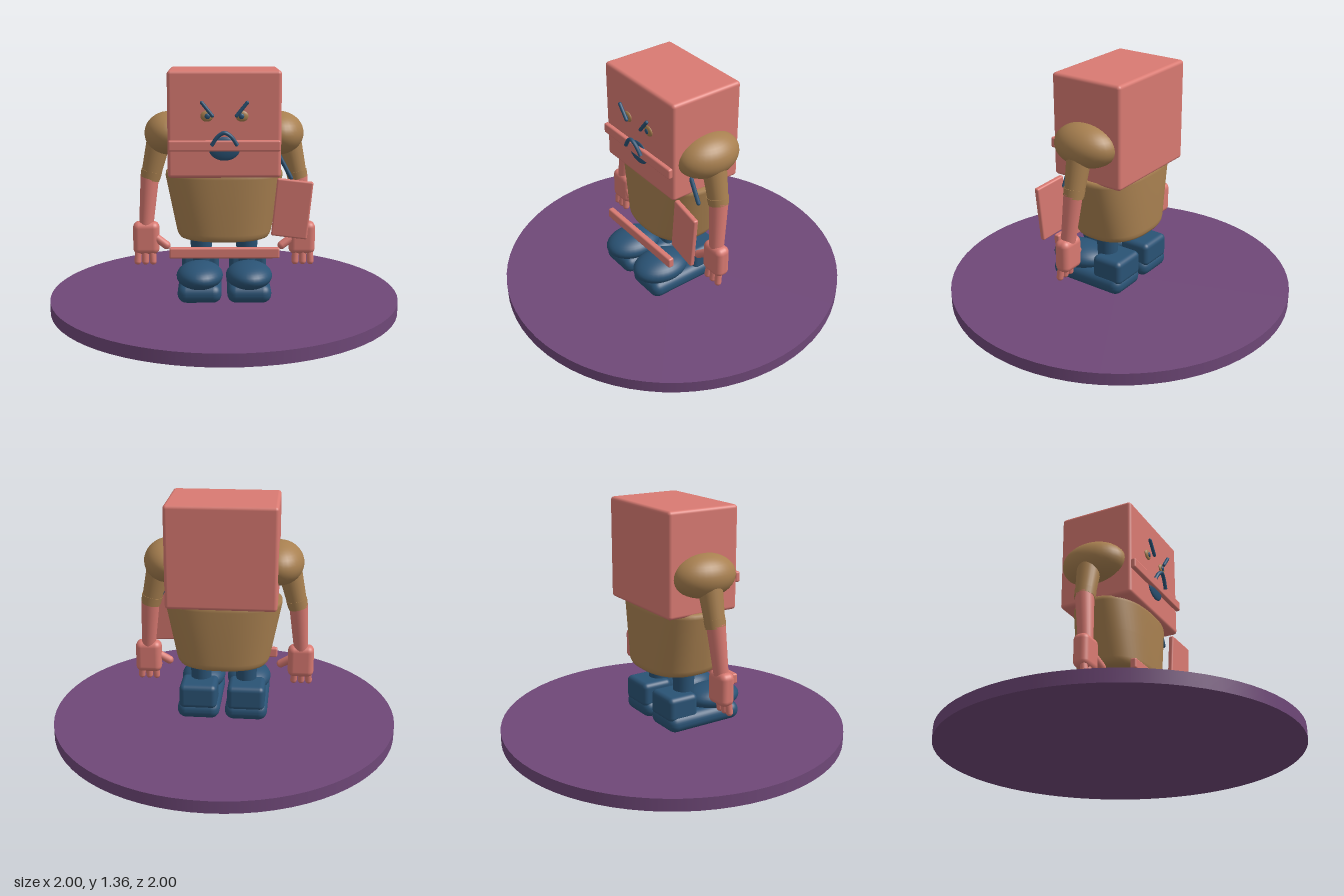
import * as THREE from 'three';
import { mergeVertices } from 'three/addons/utils/BufferGeometryUtils.js';
import { RoundedBoxGeometry } from 'three/addons/geometries/RoundedBoxGeometry.js';

const makeMaterial = (name, color) => {
  const m = new THREE.MeshStandardMaterial({ color });
  m.name = name;
  return m;
};

export function createModel() {
  const model = new THREE.Group();
  model.name = 'boxHeadFigure';
  const salmon = makeMaterial('salmon', 0xd97a72);
  const tan = makeMaterial('tan', 0xa88050);
  const blue = makeMaterial('darkBlue', 0x2a5375);
  const purple = makeMaterial('purple', 0x6f4878);
  const v = (x, y, z) => new THREE.Vector3(x, y, z);

  const add = (name, geometry, material, x = 0, y = 0, z = 0, parent = model) => {
    const mesh = new THREE.Mesh(geometry, material);
    mesh.name = name;
    mesh.position.set(x, y, z);
    parent.add(mesh);
    return mesh;
  };
  const box = (w, h, d, r) => new RoundedBoxGeometry(w, h, d, 4, r);
  const ball = (rx, ry, rz) => new THREE.SphereGeometry(1, 32, 20).scale(rx, ry, rz);
  // tapered round limb between two points
  const limb = (name, a, b, ra, rb, material, parent) => {
    const mid = a.clone().add(b).multiplyScalar(0.5);
    const mesh = add(name, new THREE.CylinderGeometry(rb, ra, a.distanceTo(b), 24),
      material, mid.x, mid.y, mid.z, parent);
    mesh.quaternion.setFromUnitVectors(v(0, 1, 0), b.clone().sub(a).normalize());
    return mesh;
  };
  // round-ended rod between two points
  const rod = (name, a, b, r, material, parent) => {
    const mesh = limb(name, a, b, r, r, material, parent);
    mesh.geometry = new THREE.CapsuleGeometry(r, a.distanceTo(b), 5, 14);
    return mesh;
  };

  // display disc
  add('base', new THREE.CylinderGeometry(1, 1, 0.07, 72), purple, 0, 0.035, 0);

  // torso: rounded oval, tapering only in width
  const profile = [[0, 0.41], [0.9, 0.41], [0.96, 0.416], [0.99, 0.43], [1, 0.45],
    [1, 0.6], [1, 0.765], [0.985, 0.785], [0.94, 0.795], [0, 0.795]];
  let torso = new THREE.LatheGeometry(profile.map(p => new THREE.Vector2(...p)), 56);
  const pos = torso.attributes.position;
  const squarish = c => Math.sign(c) * Math.abs(c) ** 0.8;
  for (let i = 0; i < pos.count; i++) {
    const x = pos.getX(i), y = pos.getY(i), z = pos.getZ(i);
    const r = Math.hypot(x, z) || 1;
    const halfWidth = 0.262 + (y - 0.41) * 0.2;
    pos.setX(i, r * squarish(x / r) * halfWidth);
    pos.setZ(i, r * squarish(z / r) * 0.212);
  }
  torso.deleteAttribute('normal');
  torso.deleteAttribute('uv');
  torso = mergeVertices(torso, 1e-4);
  torso.computeVertexNormals();
  add('torso', torso, tan);

  // head
  add('head', box(0.62, 0.585, 0.445, 0.02), salmon, 0, 1.072, 0.003);
  add('lipBar', box(0.61, 0.06, 0.03, 0.01), salmon, 0, 0.96, 0.236);
  add('lowerLip', ball(0.085, 0.065, 0.015), blue, 0, 0.942, 0.226);
  const mouthPath = new THREE.CatmullRomCurve3([
    v(-0.07, 0.965, 0.262), v(-0.035, 1.015, 0.268), v(0, 1.035, 0.272),
    v(0.035, 1.015, 0.268), v(0.07, 0.965, 0.262)]);
  add('mouth', new THREE.TubeGeometry(mouthPath, 32, 0.011, 10), blue);

  for (const s of [-1, 1]) {
    const side = s > 0 ? 'left' : 'right';

    // eye and slanted brow
    add(side + 'Eye', ball(0.035, 0.03, 0.012), tan, s * 0.095, 1.12, 0.226);
    add(side + 'Pupil', ball(0.015, 0.015, 0.007), blue, s * 0.092, 1.12, 0.236);
    rod(side + 'Brow', v(s * 0.065, 1.125, 0.257), v(s * 0.122, 1.196, 0.257), 0.01, blue);

    // arm
    const arm = new THREE.Group();
    arm.name = side + 'Arm';
    model.add(arm);
    add('shoulder', ball(0.14, 0.122, 0.19), tan, s * 0.31, 1.003, 0, arm);
    limb('upperArm', v(s * 0.423, 0.735, 0.003), v(s * 0.365, 0.98, 0), 0.054, 0.07, tan, arm);
    limb('sleeveCuff', v(s * 0.421, 0.745, 0.003), v(s * 0.412, 0.785, 0.003), 0.057, 0.06, tan, arm);
    limb('forearm', v(s * 0.448, 0.45, 0.03), v(s * 0.423, 0.76, 0.004), 0.04, 0.053, salmon, arm);

    // hand with fingers and thumb
    add('palm', box(0.15, 0.19, 0.09, 0.035), salmon, s * 0.447, 0.4, 0.03, arm);
    for (let i = -1; i <= 1; i++) {
      const fx = 0.452 + i * 0.04;
      rod('finger', v(s * fx, 0.33, 0.045), v(s * (fx + i * 0.004), 0.265, 0.052),
        0.02, salmon, arm);
    }
    rod('thumb', v(s * 0.385, 0.4, 0.045), v(s * 0.33, 0.362, 0.06), 0.024, salmon, arm);

    // leg and shoe
    const leg = new THREE.Group();
    leg.name = side + 'Leg';
    model.add(leg);
    limb('shin', v(s * 0.132, 0.2, -0.01), v(s * 0.132, 0.46, -0.005), 0.055, 0.066, blue, leg);
    add('sole', box(0.245, 0.105, 0.48, 0.05), blue, s * 0.138, 0.138, 0.073, leg);
    add('toeCap', ball(0.13, 0.074, 0.17), blue, s * 0.138, 0.222, 0.188, leg);
    add('heel', box(0.215, 0.145, 0.19, 0.03), blue, s * 0.138, 0.225, -0.073, leg);
  }

  // bar across the front, below the torso
  add('frontBar', box(0.61, 0.06, 0.036, 0.01), salmon, 0, 0.362, 0.232);

  // flat satchel at the left hip with its strap
  const satchel = add('satchel', box(0.2, 0.325, 0.03, 0.01), salmon, 0.375, 0.603, 0.198);
  satchel.rotation.set(0, -0.1, -0.1);
  rod('strap', v(0.3, 0.9, 0.105), v(0.375, 0.76, 0.105), 0.012, blue);

  return model;
}
